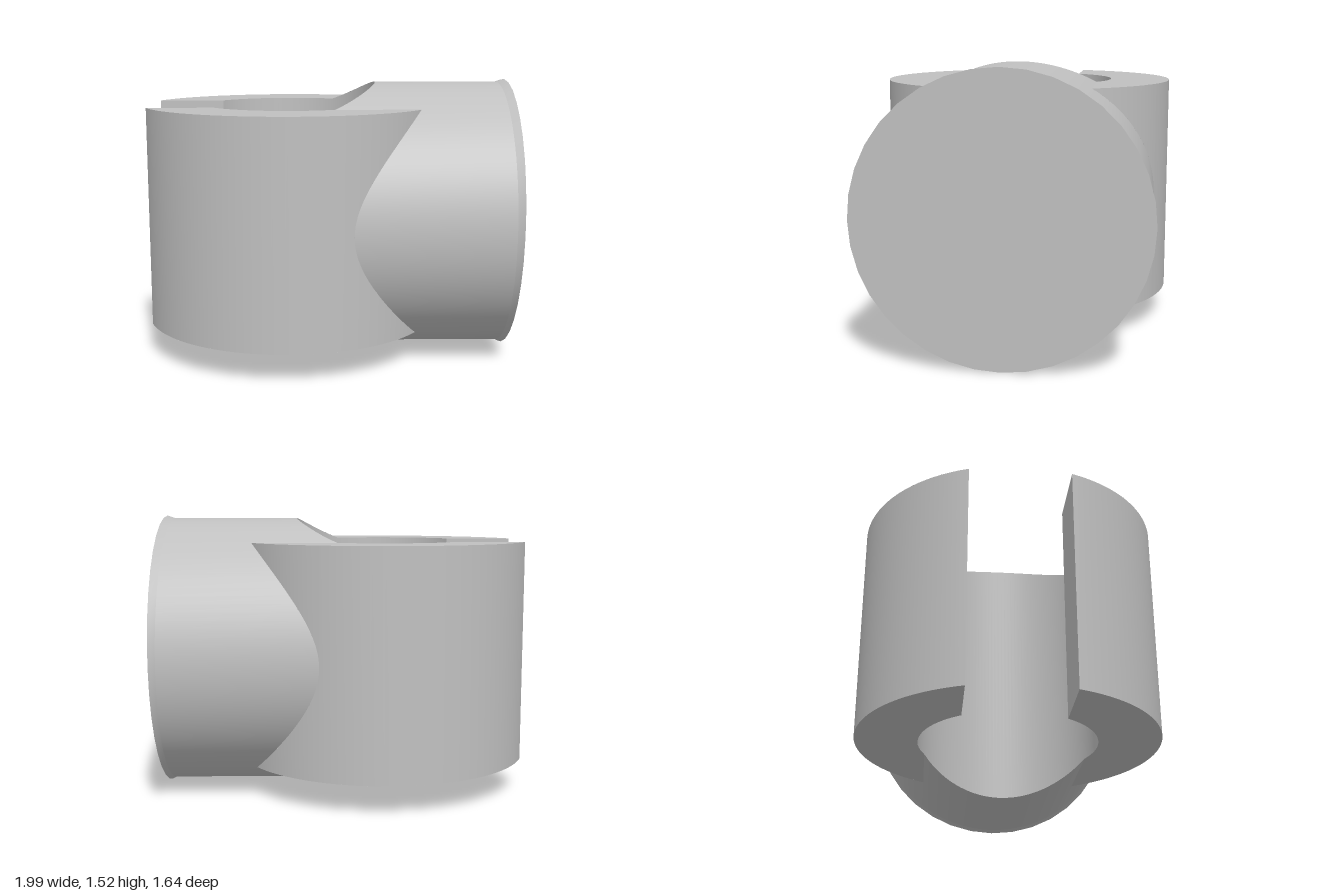
import * as THREE from 'three';

const CX = -0.22, AXIS = 0.766;          // clamp axis in x, shank axis in y
const R_OUT = 0.82, R_BORE = 0.483;      // clamp ring radii
const R_SHANK = 0.745, R_LIP = 0.76;     // shank and end lip radii
const TOP = 0.62, BOTTOM = -0.597;       // clamp faces, relative to the shank axis
const SLOT = 0.268;                      // half width of the slot

const grey = new THREE.MeshStandardMaterial({ color: 0xc0c0c0, side: THREE.DoubleSide });
grey.name = 'grey';

const circ = (r, z) => Math.sqrt(Math.max(0, r * r - z * z));
const lerp = THREE.MathUtils.lerp;
const onRing = (r, phi, y, s = 1) => [CX + r * Math.cos(phi), y, s * r * Math.sin(phi)];

// Ruled surface between curves a(t) and b(t)
function strip(parent, name, a, b, n, flip = false) {
  const pos = [], index = [];
  for (let i = 0; i <= n; i++) pos.push(...a(i / n), ...b(i / n));
  for (let i = 0; i < n; i++) {
    const k = i * 2;
    if (flip) index.push(k, k + 2, k + 1, k + 2, k + 3, k + 1);
    else index.push(k, k + 1, k + 2, k + 2, k + 1, k + 3);
  }
  const g = new THREE.BufferGeometry();
  g.setAttribute('position', new THREE.Float32BufferAttribute(pos, 3));
  g.setIndex(index);
  g.computeVertexNormals();
  const mesh = new THREE.Mesh(g, grey);
  mesh.name = name;
  parent.add(mesh);
}

export function createModel() {
  const model = new THREE.Group();
  model.name = 'slottedClamp';
  const clamp = new THREE.Group(), shank = new THREE.Group();
  clamp.name = 'clamp';
  shank.name = 'shank';
  clamp.position.y = shank.position.y = AXIS;
  model.add(clamp, shank);

  const openOut = Math.PI - Math.asin(SLOT / R_OUT);
  const openIn = Math.PI - Math.asin(SLOT / R_BORE);
  const tangent = Math.asin(R_SHANK / R_OUT);

  // Two mirrored jaws
  for (const s of [1, -1]) {
    const back = s < 0;
    const full = t => lerp(tangent, openOut, t);
    strip(clamp, 'jawOuterWall', t => onRing(R_OUT, full(t), BOTTOM, s),
      t => onRing(R_OUT, full(t), TOP, s), 40, back);

    // Flat faces, and the pointed wall pieces that meet the shank
    for (const level of [TOP, BOTTOM]) {
      const up = level > 0;
      const zMeet = circ(R_SHANK, level);
      const startOut = Math.asin(zMeet / R_OUT), startIn = Math.asin(zMeet / R_BORE);
      strip(clamp, up ? 'jawTopFace' : 'jawBottomFace',
        t => onRing(R_BORE, lerp(startIn, openIn, t), level, s),
        t => onRing(R_OUT, lerp(startOut, openOut, t), level, s), 56, up !== back);
      const phi = t => lerp(startOut, tangent, t);
      const seam = t => Math.sign(level) * circ(R_SHANK, R_OUT * Math.sin(phi(t)));
      strip(clamp, 'jawPoint', t => onRing(R_OUT, phi(t), up ? seam(t) : level, s),
        t => onRing(R_OUT, phi(t), up ? level : seam(t), s), 24, back);
    }

    // Slot wall
    strip(clamp, 'slotWall', t => onRing(R_BORE, openIn, lerp(BOTTOM, TOP, t), s),
      t => onRing(R_OUT, openOut, lerp(BOTTOM, TOP, t), s), 1, back);
  }

  // Bore wall, rising to the shank surface where the bore cuts through it
  const borePhi = t => lerp(-openIn, openIn, t);
  const boreY = (phi, level) => {
    const h = circ(R_SHANK, R_BORE * Math.sin(phi));
    return Math.cos(phi) > 0 && h > Math.abs(level) ? Math.sign(level) * h : level;
  };
  strip(clamp, 'boreWall', t => onRing(R_BORE, borePhi(t), boreY(borePhi(t), BOTTOM)),
    t => onRing(R_BORE, borePhi(t), boreY(borePhi(t), TOP)), 120, true);

  // Shank skin in four pieces: above, below, and outside each jaw
  const onShank = (x, r, th) => [x, r * Math.cos(th), r * Math.sin(th)];
  const tTop = Math.acos(TOP / R_SHANK), tBot = Math.acos(BOTTOM / R_SHANK), full = Math.PI * 2;
  const pieces = [
    ['shankTop', -tTop, tTop, R_BORE],
    ['shankLeft', tTop, tBot, R_OUT],
    ['shankBottom', tBot, full - tBot, R_BORE],
    ['shankRight', full - tBot, full - tTop, R_OUT],
  ];
  for (const [name, t0, t1, r] of pieces) {
    const th = t => lerp(t0, t1, t);
    strip(shank, name,
      t => onShank(CX + circ(r, R_SHANK * Math.sin(th(t))), R_SHANK, th(t)),
      t => onShank(0.955, R_SHANK, th(t)), 32, true);
  }

  // Flared lip and slightly tilted end face
  const endX = th => 0.99 + 0.01 * Math.cos(th);
  const rim = t => onShank(endX(t * full), R_LIP, t * full);
  strip(shank, 'endLip', t => onShank(0.955, R_SHANK, t * full), rim, 36, true);
  strip(shank, 'endFace', () => [0.99, 0, 0], rim, 36);

  return model;
}
